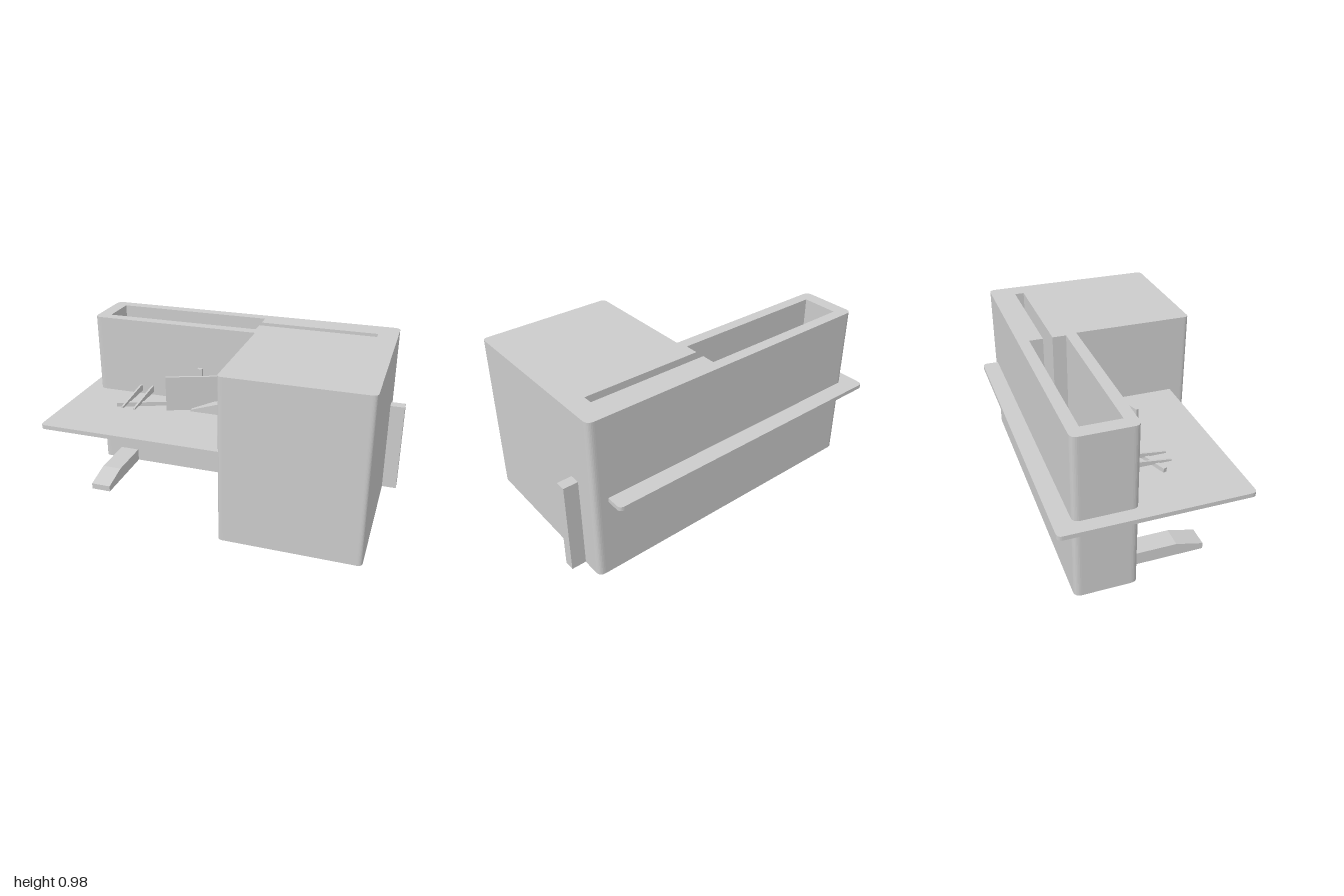
import * as THREE from 'three';

const material = new THREE.MeshStandardMaterial({ color: 0xcccccc });

// Trace a closed outline of [x, y, cornerRadius] points with rounded corners
function outline(points, target) {
  const n = points.length;
  points.forEach(([x, y, r = 0], i) => {
    const toward = (q) => {
      const l = Math.hypot(q[0] - x, q[1] - y);
      return [x + (q[0] - x) * r / l, y + (q[1] - y) * r / l];
    };
    const a = toward(points[(i + n - 1) % n]);
    const b = toward(points[(i + 1) % n]);
    if (i === 0) target.moveTo(a[0], a[1]);
    else target.lineTo(a[0], a[1]);
    if (r > 0) target.quadraticCurveTo(x, y, b[0], b[1]);
  });
  target.closePath();
  return target;
}

// Upright prism from a floor plan given as [x, z, cornerRadius]; the hole runs the opposite way round
function prism(plan, y0, y1, hole) {
  const flip = (list) => list.map(([x, z, r]) => [x, -z, r]);
  const shape = outline(flip(plan), new THREE.Shape());
  shape.holes.push(outline(flip(hole).reverse(), new THREE.Path()));
  return new THREE.ExtrudeGeometry(shape, { depth: y1 - y0, bevelEnabled: false, curveSegments: 8 })
    .rotateX(-Math.PI / 2).translate(0, y0, 0);
}

// Box from its limits on each axis
function box(x0, x1, y0, y1, z0, z1) {
  return new THREE.BoxGeometry(x1 - x0, y1 - y0, z1 - z0)
    .translate((x0 + x1) / 2, (y0 + y1) / 2, (z0 + z1) / 2);
}

// Thin vertical plate running between two plan points
function plate(ax, az, bx, bz, y0, y1, t) {
  return new THREE.BoxGeometry(Math.hypot(bx - ax, bz - az), y1 - y0, t)
    .rotateY(-Math.atan2(bz - az, bx - ax))
    .translate((ax + bx) / 2, (y0 + y1) / 2, (az + bz) / 2);
}

// [x, y] profile extruded along z
function frontProfile(points, z0, z1) {
  return new THREE.ExtrudeGeometry(outline(points, new THREE.Shape()), { depth: z1 - z0, bevelEnabled: false })
    .translate(0, 0, z0);
}

// [z, y] profile extruded along x
function sideProfile(points, x0, x1) {
  return frontProfile(points, 0, x1 - x0).rotateY(-Math.PI / 2).translate(x1, 0, 0);
}

export function createModel() {
  const model = new THREE.Group();
  const add = (name, geometry) => {
    const mesh = new THREE.Mesh(geometry, material);
    mesh.name = name;
    model.add(mesh);
  };

  // L-shaped housing with a wide and a narrow slot open at the top
  add('housing', prism([
    [-0.92, -0.475, 0.04], [0.915, -0.475, 0.04], [0.915, 0.575, 0.03],
    [0.115, 0.575, 0.03], [0.115, -0.13], [-0.92, -0.13, 0.04],
  ], 0.006, 0.98, [
    [-0.84, -0.41], [0.1, -0.41], [0.1, -0.33], [0.8, -0.33],
    [0.8, -0.275], [0.1, -0.275], [0.1, -0.195], [-0.84, -0.195],
  ]));

  // Slot floor, ledge in the narrow slot and thin plate under the housing
  add('slotFloor', box(-0.84, -0.63, 0.006, 0.05, -0.41, -0.195));
  add('slotLedge', box(0.3, 0.8, 0.006, 0.05, -0.285, -0.275));
  add('basePlate', box(-0.63, 0.9, 0, 0.007, -0.42, -0.195));

  // Table around the housing, cut out inside the slot walls
  add('table', prism([
    [-1, -0.575, 0.03], [0.83, -0.575, 0.03], [0.83, 0.475], [-1, 0.475, 0.03],
  ], 0.475, 0.5, [[-0.86, -0.43], [0.81, -0.43], [0.81, -0.175], [-0.86, -0.175]]));

  // Upright bracket on the left flank
  add('sideBracket', box(0.91, 1, 0.008, 0.56, -0.34, -0.28));

  // Pedal with a sloped tip
  add('pedal', sideProfile([
    [-0.14, 0.006], [0.3, 0.006], [0.3, 0.042], [0.14, 0.082], [-0.14, 0.082],
  ], -0.8, -0.68));

  // Angled guide plates
  add('guidePanel', plate(-0.38, 0.06, 0.13, -0.13, 0.33, 0.715, 0.016));
  add('guideRail', plate(-0.69, 0.1, -0.2, -0.09, 0.445, 0.525, 0.022));

  // Pegs behind the panel
  for (const x of [-0.22, 0.045]) add('peg', box(x - 0.014, x + 0.014, 0.5, 0.725, -0.118, -0.095));

  // Tapered rods reaching out of the wide slot
  for (const x of [-0.627, -0.55]) {
    add('rod', sideProfile([[-0.205, 0.52], [0.16, 0.52], [0.16, 0.53], [-0.1, 0.56], [-0.205, 0.56]], x - 0.006, x + 0.006));
  }

  // Clamp mechanism in front of the panel
  add('clampLever', frontProfile([
    [-0.235, 0.49], [0, 0.49], [0, 0.575], [-0.07, 0.565], [-0.235, 0.51],
  ], -0.03, 0.035));
  add('clampTail', frontProfile([
    [0, 0.49], [0.13, 0.49], [0.13, 0.54], [0.09, 0.53], [0, 0.52],
  ], -0.08, -0.005));
  add('clampBase', frontProfile([
    [-0.26, 0.41], [-0.24, 0.397], [0.13, 0.397], [0.13, 0.49], [-0.235, 0.49], [-0.26, 0.46],
  ], -0.08, 0.015));
  add('clampJaw', box(-0.235, 0, 0.44, 0.465, -0.03, 0.035));
  add('clampPin', new THREE.CylinderGeometry(0.035, 0.035, 0.16, 20).translate(-0.165, 0.48, -0.1));

  // Knob below the clamp
  add('clampKnob', new THREE.CylinderGeometry(0.037, 0.037, 0.03, 20).translate(-0.008, 0.385, -0.03));
  add('knobTip', new THREE.CylinderGeometry(0.03, 0.03, 0.04, 20).translate(-0.008, 0.35, -0.03));

  return model;
}
